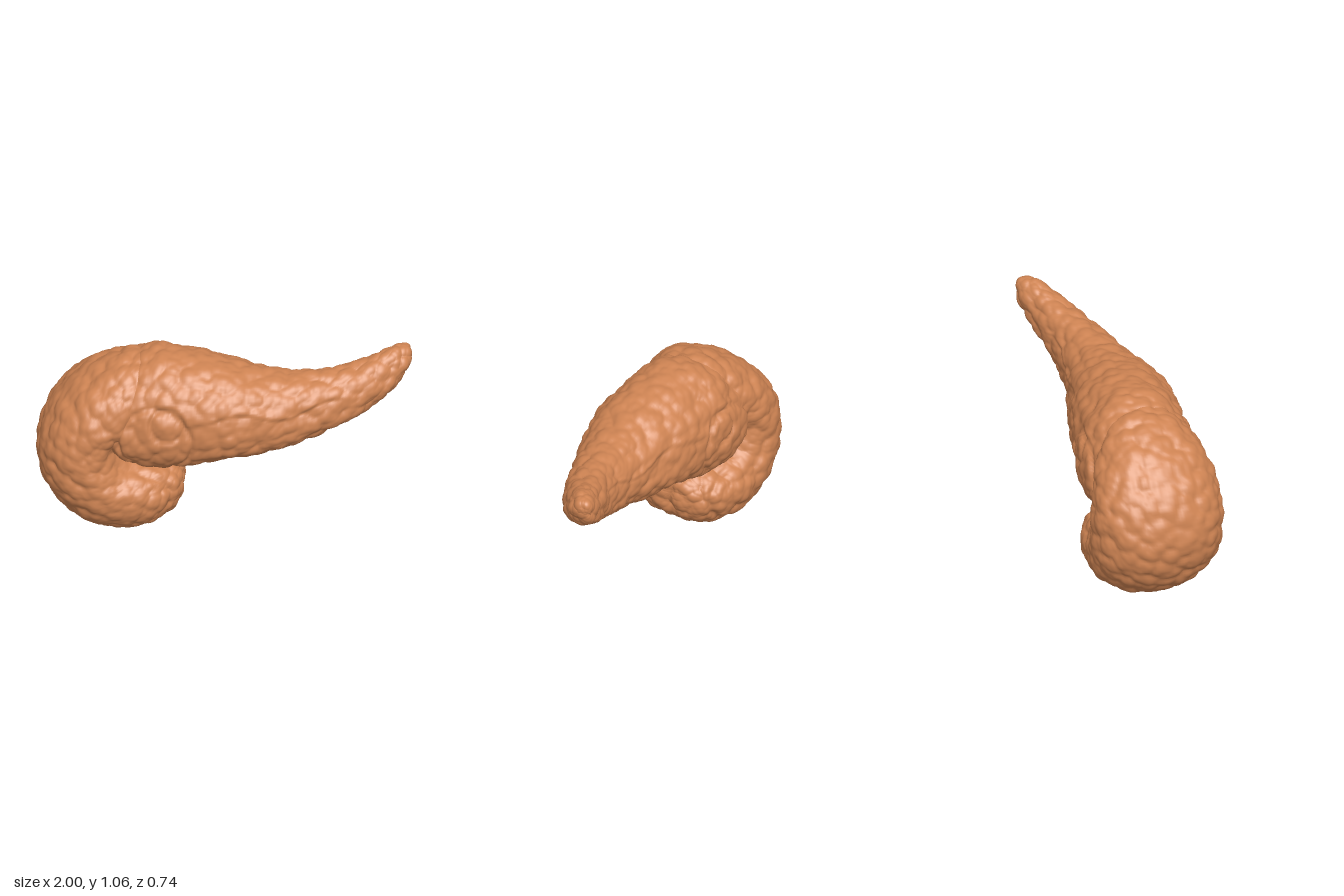
import * as THREE from 'three';

// Repeatable pseudo-random value in 0..1 for a grid cell
function hash(x, y, z, k) {
  const s = Math.sin(x * 127.1 + y * 311.7 + z * 74.7 + k * 53.3) * 43758.5453;
  return s - Math.floor(s);
}

// Rounded pebble pattern: 1 at each pebble's middle, falling towards its rim
function pebbles(p, size) {
  const x = p.x / size, y = p.y / size, z = p.z / size;
  const cx = Math.floor(x), cy = Math.floor(y), cz = Math.floor(z);
  let best = 9;
  for (let i = cx - 1; i <= cx + 1; i++)
    for (let j = cy - 1; j <= cy + 1; j++)
      for (let k = cz - 1; k <= cz + 1; k++) {
        const dx = i + hash(i, j, k, 1) - x;
        const dy = j + hash(i, j, k, 2) - y;
        const dz = k + hash(i, j, k, 3) - z;
        best = Math.min(best, dx * dx + dy * dy + dz * dz);
      }
  return 1 - Math.min(best, 1);
}

const groove = (d, width) => Math.exp(-(d * d) / (width * width));
const power = (v, e) => Math.sign(v) * Math.abs(v) ** e;

// Skin through egg-shaped sections, wider towards the inner side,
// each [outerX, outerY, innerX, innerY, centreZ, halfWidth]
function skin(stations, rings, sides, egg, relief) {
  const outer = new THREE.CatmullRomCurve3(
    stations.map(s => new THREE.Vector3(s[0], s[1], s[4])), false, 'catmullrom');
  const inner = new THREE.CatmullRomCurve3(
    stations.map(s => new THREE.Vector3(s[2], s[3], s[5])), false, 'catmullrom');
  const pos = [], index = [];
  const ends = [];
  for (let i = 0; i <= rings; i++) {
    const o = outer.getPoint(i / rings), n = inner.getPoint(i / rings);
    const mx = (o.x + n.x) / 2, my = (o.y + n.y) / 2;
    if (i === 0 || i === rings) ends.push([mx, my, o.z]);
    for (let j = 0; j < sides; j++) {
      const a = j / sides * Math.PI * 2;
      const c = power(Math.cos(a), 0.9);
      const s = power(Math.sin(a), 0.9) * (1 - egg * Math.cos(a));
      pos.push(mx + (o.x - mx) * c, my + (o.y - my) * c, o.z + n.z * s);
      if (i < rings) {
        const k = (j + 1) % sides, r = i * sides, q = r + sides;
        index.push(r + j, r + k, q + j, r + k, q + k, q + j);
      }
    }
  }
  // Closing caps
  const first = pos.length / 3, last = rings * sides;
  pos.push(...ends[0], ...ends[1]);
  for (let j = 0; j < sides; j++) {
    const k = (j + 1) % sides;
    index.push(first, k, j, first + 1, last + j, last + k);
  }
  const geo = new THREE.BufferGeometry();
  geo.setAttribute('position', new THREE.Float32BufferAttribute(pos, 3));
  geo.setIndex(index);
  geo.computeVertexNormals();
  // Raise the skin along its normals
  const P = geo.attributes.position, N = geo.attributes.normal;
  const p = new THREE.Vector3(), n = new THREE.Vector3();
  for (let i = 0; i < P.count; i++) {
    p.fromBufferAttribute(P, i);
    n.fromBufferAttribute(N, i);
    p.addScaledVector(n, relief(p));
    P.setXYZ(i, p.x, p.y, p.z);
  }
  geo.computeVertexNormals();
  return geo;
}

const bumps = p => 0.024 * (pebbles(p, 0.08) - 0.75) + 0.008 * (pebbles(p, 0.045) - 0.75);

// Curled lower body, from its rounded end round to the top
const curlStations = [
  [-0.203, 0.265, -0.203, 0.295, 0, 0.03],
  [-0.213, 0.19, -0.213, 0.345, 0, 0.13],
  [-0.25, 0.12, -0.245, 0.385, 0, 0.205],
  [-0.31, 0.07, -0.29, 0.41, 0, 0.25],
  [-0.41, 0.025, -0.36, 0.43, 0, 0.30],
  [-0.56, 0.01, -0.43, 0.44, 0, 0.335],
  [-0.78, 0.08, -0.48, 0.455, 0, 0.355],
  [-0.94, 0.25, -0.51, 0.48, 0, 0.36],
  [-0.998, 0.47, -0.53, 0.52, 0, 0.36],
  [-0.935, 0.70, -0.53, 0.56, 0, 0.35],
  [-0.78, 0.885, -0.51, 0.58, 0.01, 0.33],
  [-0.62, 0.985, -0.48, 0.60, 0.015, 0.30],
  [-0.49, 1.03, -0.44, 0.63, 0.015, 0.25],
  [-0.36, 1.02, -0.36, 0.67, 0.01, 0.17],
];

// Tapering horn, from inside the curl out to the tip
const hornStations = [
  [-0.69, 0.72, -0.68, 0.62, 0, 0.06],
  [-0.65, 0.83, -0.63, 0.53, 0, 0.22],
  [-0.58, 0.93, -0.55, 0.46, 0.005, 0.295],
  [-0.48, 1.01, -0.45, 0.41, 0.005, 0.315],
  [-0.35, 1.06, -0.31, 0.395, 0.015, 0.315],
  [-0.20, 1.045, -0.17, 0.425, 0.035, 0.305],
  [0.00, 1.01, 0.02, 0.475, 0.058, 0.288],
  [0.20, 0.965, 0.23, 0.515, 0.07, 0.237],
  [0.38, 0.94, 0.44, 0.57, 0.062, 0.182],
  [0.57, 0.95, 0.64, 0.65, 0.03, 0.145],
  [0.74, 0.98, 0.82, 0.75, -0.03, 0.12],
  [0.86, 1.015, 0.935, 0.835, -0.085, 0.095],
  [0.93, 1.035, 0.985, 0.90, -0.115, 0.075],
  [0.98, 1.02, 1.0, 0.945, -0.13, 0.04],
  [1.0, 0.985, 1.003, 0.965, -0.13, 0.012],
];

// Middle cleft and soft side folds on the rounded end
function curlRelief(p) {
  const cleft = p.x > -0.5 && p.y < 0.42 ? Math.min(1, (p.x + 0.5) * 6) : 0;
  return bumps(p) - cleft * (0.012 * groove(p.z, 0.02) + 0.016 * groove(Math.abs(p.z) - 0.225, 0.016));
}

// Overlapping upper skin, round side pads and the arched fold around them
function hornRelief(p) {
  const line = 0.81 + 0.025 * Math.sin(p.x * 13 + 0.4) + 0.12 * Math.max(0, p.x - 0.4);
  const step = THREE.MathUtils.smoothstep(p.y, line - 0.008, line + 0.008);
  const along = THREE.MathUtils.smoothstep(p.x, -0.2, -0.1)
    * (1 - THREE.MathUtils.smoothstep(p.x, 0.5, 0.75));
  let h = bumps(p) + along * (0.012 * step - 0.006);
  if (Math.abs(p.z) > 0.12) {
    const pad = Math.hypot(p.x + 0.29, p.y - 0.765);
    h -= 0.014 * groove(pad - 0.09, 0.011);
    h += 0.008 * groove(pad, 0.07);
    if (p.y > 0.5) h -= 0.014 * groove(Math.hypot(p.x + 0.355, p.y - 0.65) - 0.2, 0.012);
  }
  return h;
}

export function createModel() {
  const clay = new THREE.MeshStandardMaterial({ color: 0xcf8453 });
  clay.name = 'clay brown';
  const model = new THREE.Group();
  model.name = 'curledBody';

  const curl = new THREE.Mesh(skin(curlStations, 190, 140, 0.1, curlRelief), clay);
  curl.name = 'curl';
  const horn = new THREE.Mesh(skin(hornStations, 230, 140, 0.15, hornRelief), clay);
  horn.name = 'horn';
  model.add(curl, horn);

  // Rest the bumpy underside on the ground
  const ground = new THREE.Box3().setFromObject(model).min.y;
  for (const part of model.children) part.position.y = -ground;
  return model;
}
